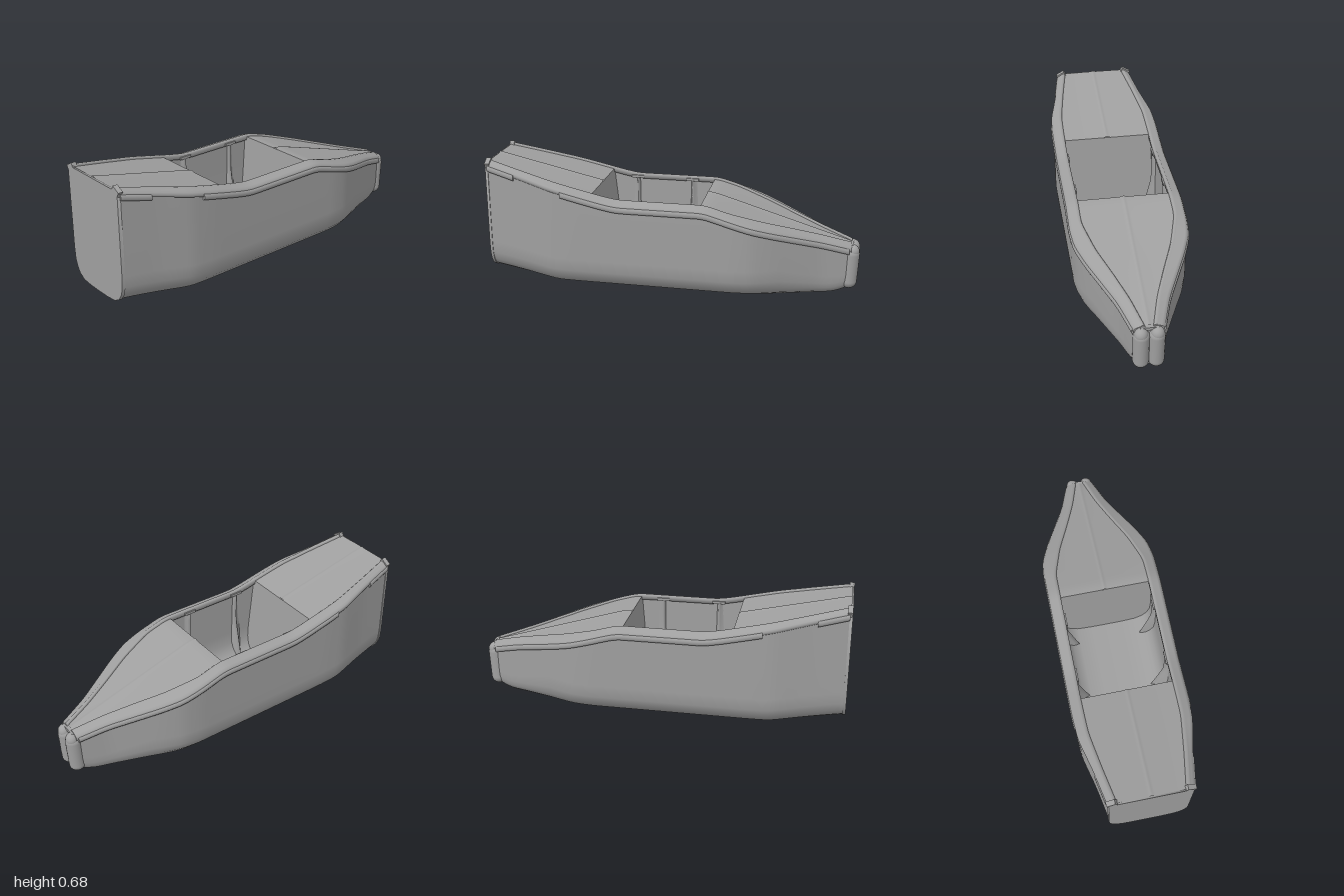
import * as THREE from 'three';

// Tables of [x, value] along the boat (stern at -x, bow at +x)
const SHEER = [[-1, 0.67], [-0.34, 0.52], [-0.26, 0.506], [0.2, 0.506], [0.3, 0.477], [0.96, 0.277]];
const BEAM = [[-1, 0.208], [-0.8, 0.245], [-0.62, 0.288], [-0.5, 0.294], [0.35, 0.297], [0.45, 0.285],
  [0.55, 0.245], [0.65, 0.195], [0.8, 0.12], [0.96, 0.066]];
const INNER = [[-1, 0.168], [-0.8, 0.205], [-0.6, 0.237], [-0.45, 0.24], [0.33, 0.24], [0.5, 0.19],
  [0.65, 0.125], [0.8, 0.065], [0.96, 0.018]];
const KEEL = [[-1, 0.052], [-0.6, 0.004], [0.84, 0.004], [0.9, 0.014], [0.96, 0.045]];

// Linear lookup, extended past both ends, averaged over a short window
function lookup(table, x) {
  let i = 0;
  while (i < table.length - 2 && x > table[i + 1][0]) i++;
  const [x0, a] = table[i], [x1, b] = table[i + 1];
  return a + (b - a) * (x - x0) / (x1 - x0);
}
function at(table, x) {
  return [-0.03, -0.015, 0, 0.015, 0.03].reduce((sum, d) => sum + lookup(table, x + d) / 5, 0);
}
function steps(a, b, n) {
  return Array.from({ length: n + 1 }, (_, i) => a + (b - a) * i / n);
}

// Skin a row of cross-sections; optional closed rings and flat end caps
function loft(sections, { closed = false, capStart = false, capEnd = false } = {}) {
  const pos = [], idx = [], n = sections[0].length;
  sections.forEach(s => s.forEach(p => pos.push(...p)));
  for (let i = 0; i < sections.length - 1; i++) {
    for (let j = 0; j < (closed ? n : n - 1); j++) {
      const a = i * n + j, b = i * n + (j + 1) % n;
      idx.push(a, b, a + n, b, b + n, a + n);
    }
  }
  const cap = (ring, flip) => {
    const start = pos.length / 3;
    const mid = [0, 1, 2].map(k => ring.reduce((t, p) => t + p[k] / n, 0));
    pos.push(...mid);
    ring.forEach(p => pos.push(...p));
    for (let j = 0; j < n; j++) {
      const a = start + 1 + j, b = start + 1 + (j + 1) % n;
      idx.push(start, flip ? b : a, flip ? a : b);
    }
  };
  if (capStart) cap(sections[0], true);
  if (capEnd) cap(sections[sections.length - 1], false);
  const g = new THREE.BufferGeometry();
  g.setAttribute('position', new THREE.Float32BufferAttribute(pos, 3));
  g.setIndex(idx);
  g.computeVertexNormals();
  return g;
}

// Round-bilged U section from one sheer, under the keel, to the other
const BILGE = [[0, 0], [0.35, 0.001], [0.65, 0.008], [0.82, 0.03], [0.92, 0.062], [0.98, 0.105], [1, 0.17]];
function hullSection(x, inset = 0, grow = 0) {
  const w = at(BEAM, x) - inset + grow, k = at(KEEL, x) + inset * 1.3 - grow;
  const q = Math.min(1, 0.25 + w / 0.3);
  const half = BILGE.map(([f, h]) => [x, k + h * q, f * w]);
  half.push([x, at(SHEER, x) - 0.012 + grow, w]);
  const other = half.slice(1).map(([a, b, c]) => [a, b, -c]).reverse();
  return [...other, ...half];
}

export function createModel() {
  const boat = new THREE.Group();
  boat.name = 'boat';
  const grey = new THREE.MeshStandardMaterial({ color: 0xa0a0a0, side: THREE.DoubleSide });
  grey.name = 'hull grey';
  const add = (name, geometry) => {
    const m = new THREE.Mesh(geometry, grey);
    m.name = name;
    boat.add(m);
    return m;
  };

  // Outer hull and stern board
  add('hull', loft(steps(-0.985, 0.955, 80).map(x => hullSection(x)), { capEnd: true }));
  add('transom', loft([-0.998, -0.982].map(x => hullSection(x, 0, 0.004)),
    { closed: true, capStart: true, capEnd: true }));

  // Thin keel strip under the bottom
  add('keelStrip', loft(steps(-0.985, 0.92, 50).map(x => {
    const k = at(KEEL, x);
    return [[x, k + 0.002, -0.012], [x, k - 0.004, -0.006], [x, k - 0.004, 0.006], [x, k + 0.002, 0.012]];
  })));

  // Open cockpit lining
  add('cockpitLining', loft(steps(-0.42, 0.19, 30).map(x => hullSection(x, 0.04))));

  // Decks with a raised centre ridge
  const deckRow = x => {
    const w = at(INNER, x) + 0.014, y = at(SHEER, x) - 0.004, r = Math.min(0.018, w * 0.4);
    return [[x, y, -w], [x, y, -r], [x, y + 0.006, -r * 0.3], [x, y + 0.006, r * 0.3], [x, y, r], [x, y, w]];
  };
  add('aftDeck', loft(steps(-0.99, -0.405, 24).map(deckRow)));
  add('foreDeck', loft(steps(0.175, 0.95, 40).map(deckRow)));

  // Leaning bulkheads at both ends of the cockpit
  function bulkhead(name, top, bottom) {
    const y = at(SHEER, top) - 0.004;
    add(name, loft(steps(0, 1, 4).map(t => {
      const x = top + (bottom - top) * t, h = y + (0.03 - y) * t;
      const w = 0.256 - 0.07 * Math.max(0, t - 0.75) * 4;
      return [[x, h, -w], [x, h, w]];
    })));
  }
  bulkhead('aftBulkhead', -0.405, -0.35);
  bulkhead('foreBulkhead', 0.175, 0.14);

  for (const s of [1, -1]) {
    const side = s > 0 ? 'left' : 'right';

    // Gunwale cap: a sloping rounded band over the hull edge
    add(side + 'Gunwale', loft(steps(-0.995, 0.955, 90).map(x => {
      const i = at(INNER, x), o = at(BEAM, x) + 0.008, y = at(SHEER, x);
      return [[i, -0.022], [i, 0], [i + 0.006, 0.006], [i + 0.018, 0.006], [i + 0.022, 0.001],
        [o - 0.016, -0.004], [o - 0.004, -0.012], [o, -0.022], [o - 0.002, -0.034], [o - 0.012, -0.036]]
        .map(([z, h]) => [x, y + h, s * z]);
    }), { closed: true, capStart: true, capEnd: true }));

    // Rubbing strake below the cap, in two lengths
    for (const [a, b, n] of [[-0.985, -0.83, 8], [-0.56, 0.945, 70]]) {
      add(side + 'RubbingStrake', loft(steps(a, b, n).map(x => {
        const w = at(BEAM, x), y = at(SHEER, x);
        return [[-0.008, -0.02], [0.008, -0.02], [0.013, -0.03], [0.013, -0.042], [0.008, -0.051], [-0.008, -0.054]]
          .map(([z, h]) => [x, y + h, s * (w + z)]);
      }), { closed: true, capStart: true, capEnd: true }));
    }

    // Cockpit ribs, deepest at the floor and tapering upward
    for (const [x, back, front] of [[-0.265, 0.055, 0.022], [0.05, 0.018, 0.05]]) {
      add(side + 'Rib', loft(steps(0, 1, 10).map(t => {
        const y = 0.05 + t * (at(SHEER, x) - 0.07);
        const tip = 0.17 + 0.062 * Math.min(1, t * 1.6);
        const slim = 1 - 0.45 * t;
        return [[x - back * slim, y, s * 0.258], [x - 0.008, y, s * (tip + 0.018)], [x, y, s * tip],
          [x + 0.008, y, s * (tip + 0.018)], [x + front * slim, y, s * 0.258]];
      })));
      const clip = add(side + 'RibClip', new THREE.BoxGeometry(0.07, 0.014, 0.016));
      clip.position.set(x, at(SHEER, x) - 0.012, s * 0.24);
    }

    // Bow post: a rounded lobe each side of the centre groove
    const lobe = add(side + 'BowLobe', new THREE.CapsuleGeometry(0.041, 0.15, 10, 20));
    lobe.scale.set(1.05, 1, 1);
    lobe.position.set(0.952, 0.146, s * 0.038);
    lobe.rotation.z = -0.05;

    // Rail end knob over the bow post
    const knob = add(side + 'BowKnob', new THREE.SphereGeometry(0.036, 18, 12));
    knob.scale.set(0.95, 1.05, 0.95);
    knob.position.set(0.963, 0.238, s * 0.04);

    // Raised stern corner of the rail
    const corner = add(side + 'SternCorner', new THREE.BoxGeometry(0.026, 0.034, 0.05));
    corner.position.set(-0.985, 0.656, s * 0.194);
    corner.rotation.x = s * 0.5;
  }

  // Small bridge joining the two rail ends
  const bridge = add('bowBridge', new THREE.BoxGeometry(0.03, 0.016, 0.1));
  bridge.position.set(0.95, 0.268, 0);

  return boat;
}
